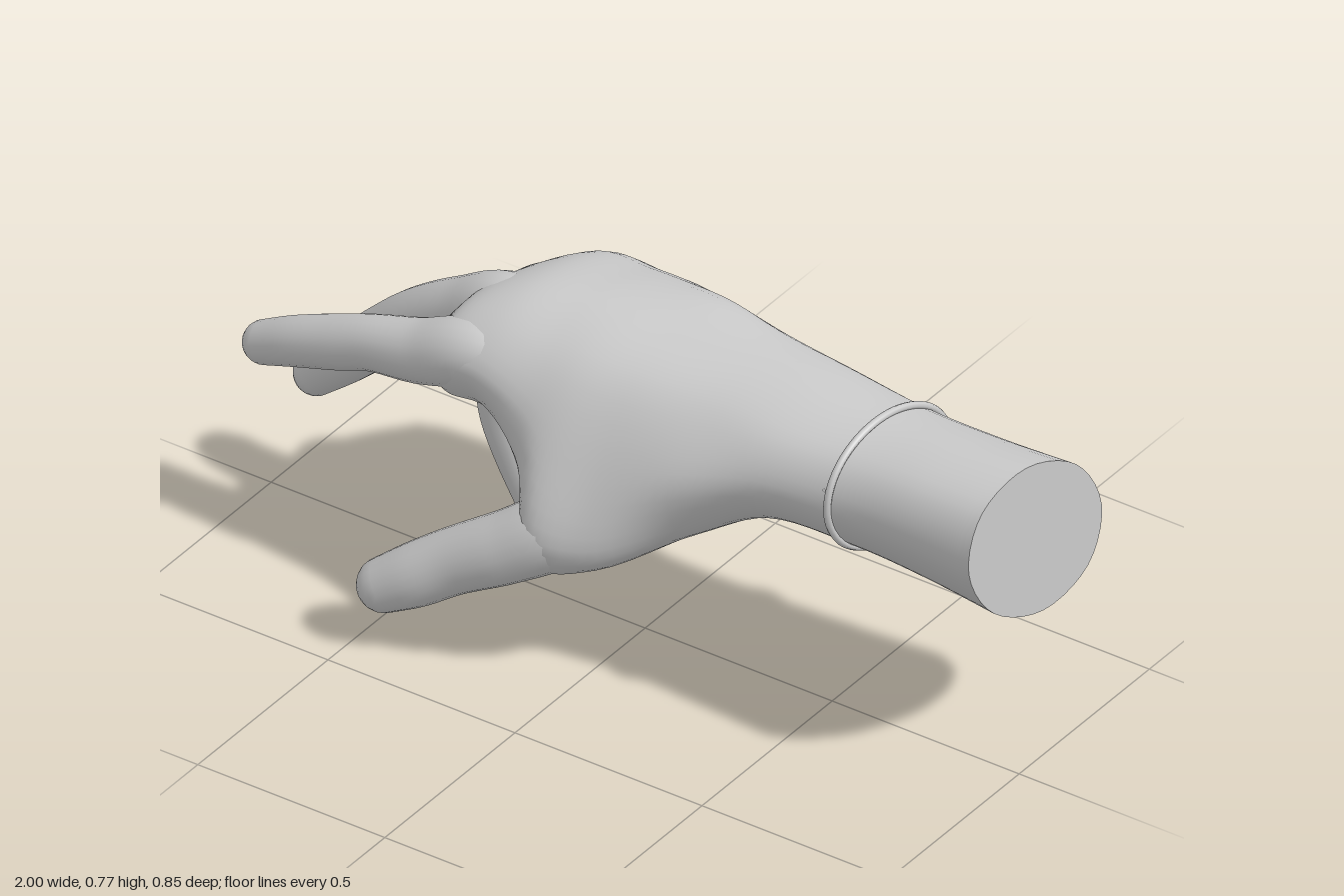
import * as THREE from 'three';

const V = (x, y, z) => new THREE.Vector3(x, y, z);
const material = new THREE.MeshStandardMaterial({ color: 0xcccccc, side: THREE.DoubleSide });

// Smooth skin over a list of closed rings with equal point counts
function skin(rings) {
  const n = rings[0].length, index = [];
  for (let i = 0; i < rings.length - 1; i++) {
    for (let j = 0; j < n; j++) {
      const a = i * n + j, b = i * n + (j + 1) % n;
      index.push(a, b, a + n, b, b + n, a + n);
    }
  }
  const g = new THREE.BufferGeometry().setFromPoints(rings.flat());
  g.setIndex(index);
  g.computeVertexNormals();
  return g;
}

function add(group, name, geometry) {
  const mesh = new THREE.Mesh(geometry, material);
  mesh.name = name;
  group.add(mesh);
  return mesh;
}

// Round limb through joints [x, y, z, radius], closed with a dome at its tip
function limb(joints, sides = 20, steps = 36) {
  const curve = new THREE.CatmullRomCurve3(joints.map(([x, y, z]) => V(x, y, z)));
  const radii = new THREE.CatmullRomCurve3(joints.map(j => V(j[3], 0, 0)), false, 'catmullrom');
  const { normals, binormals } = curve.computeFrenetFrames(steps);
  const ring = (c, r, k) => Array.from({ length: sides }, (_, j) => {
    const a = j / sides * Math.PI * 2;
    return c.clone().addScaledVector(normals[k], r * Math.cos(a)).addScaledVector(binormals[k], r * Math.sin(a));
  });
  const rings = [];
  for (let i = 0; i <= steps; i++) {
    const t = curve.getUtoTmapping(i / steps);
    rings.push(ring(curve.getPoint(t), radii.getPoint(t).x, i));
  }
  const end = curve.getPoint(1), dir = curve.getTangent(1), r = joints.at(-1)[3];
  for (let i = 1; i <= 6; i++) {
    const a = i / 6 * Math.PI / 2;
    rings.push(ring(end.clone().addScaledVector(dir, r * Math.sin(a)), r * Math.cos(a), steps));
  }
  return skin(rings);
}

// Eight [z, y] points of an ellipse, from the top towards the thumb side, optionally tilted
const oval = (z, y, rz, ry, tilt = 0) => Array.from({ length: 8 }, (_, i) => {
  const s = Math.sin(i * Math.PI / 4), c = Math.cos(i * Math.PI / 4);
  return [z + rz * s + tilt * c, y + ry * c + tilt * s];
});

// Cross-sections from knuckles to forearm: x, then [z, y] points
const sections = [
  [-0.50, oval(0, 0.60, 0.13, 0.06)],
  [-0.45, [[-0.05, 0.715], [0.08, 0.70], [0.165, 0.62], [0.10, 0.51], [-0.06, 0.51], [-0.2, 0.51], [-0.31, 0.57], [-0.2, 0.67]]],
  [-0.34, [[-0.08, 0.76], [0.08, 0.73], [0.175, 0.63], [0.10, 0.51], [-0.08, 0.51], [-0.27, 0.49], [-0.415, 0.58], [-0.31, 0.70]]],
  [-0.20, [[-0.08, 0.77], [0.10, 0.72], [0.205, 0.59], [0.19, 0.45], [0.03, 0.455], [-0.25, 0.475], [-0.415, 0.58], [-0.30, 0.715]]],
  [-0.10, [[-0.08, 0.77], [0.11, 0.715], [0.25, 0.53], [0.317, 0.36], [0.22, 0.265], [-0.03, 0.42], [-0.40, 0.56], [-0.29, 0.725]]],
  [0.03, [[-0.08, 0.765], [0.10, 0.71], [0.24, 0.51], [0.285, 0.35], [0.17, 0.29], [-0.07, 0.41], [-0.365, 0.53], [-0.28, 0.73]]],
  [0.20, [[-0.08, 0.76], [0.08, 0.71], [0.20, 0.56], [0.15, 0.41], [-0.02, 0.362], [-0.22, 0.42], [-0.335, 0.58], [-0.25, 0.72]]],
  [0.38, oval(-0.075, 0.60, 0.225, 0.157)],
  [0.60, oval(-0.085, 0.587, 0.213, 0.163, 0.015)],
  [0.80, oval(-0.085, 0.58, 0.220, 0.182, 0.025)],
  [0.984, oval(-0.085, 0.572, 0.232, 0.204, 0.03)],
];

export function createModel() {
  const hand = new THREE.Group();
  hand.name = 'hand';

  // Palm and forearm: sections joined smoothly, with a slanted cut at the arm
  const count = 40, steps = 60;
  const outlines = sections.map(([x, pts]) => new THREE.CatmullRomCurve3(
    pts.map(([z, y]) => V(x - (x > 0.7 ? 0.07 * (z + 0.085) : 0), y, z)), true, 'catmullrom'));
  const rails = Array.from({ length: count }, (_, j) =>
    new THREE.CatmullRomCurve3(outlines.map(o => o.getPoint(j / count))));
  const rings = Array.from({ length: steps + 1 }, (_, i) => rails.map(r => r.getPoint(i / steps)));
  rings.unshift(rings[0].map(() => V(-0.53, 0.59, 0)));
  add(hand, 'palmAndForearm', skin(rings));

  // Flat cut of the forearm
  const edge = rings.at(-1);
  add(hand, 'forearmEnd', skin([edge.map(p => p.clone()), edge.map(() => V(0.984, 0.572, -0.085))]));

  // Fingers and thumb, each starting narrow inside the palm
  const digits = {
    indexFinger: [[-0.20, 0.63, 0.07, 0.04], [-0.38, 0.635, 0.092, 0.078], [-0.53, 0.588, 0.098, 0.074],
      [-0.66, 0.56, 0.10, 0.064], [-0.75, 0.527, 0.10, 0.063], [-0.86, 0.487, 0.10, 0.058], [-0.948, 0.449, 0.098, 0.051]],
    middleFinger: [[-0.20, 0.64, -0.05, 0.04], [-0.39, 0.655, -0.065, 0.085], [-0.54, 0.60, -0.073, 0.073],
      [-0.66, 0.53, -0.075, 0.067], [-0.74, 0.46, -0.075, 0.066], [-0.85, 0.355, -0.075, 0.062], [-0.93, 0.28, -0.075, 0.053]],
    ringFinger: [[-0.20, 0.61, -0.18, 0.04], [-0.37, 0.625, -0.19, 0.08], [-0.47, 0.56, -0.20, 0.071],
      [-0.513, 0.45, -0.205, 0.066], [-0.515, 0.29, -0.205, 0.064], [-0.48, 0.19, -0.205, 0.062], [-0.415, 0.055, -0.20, 0.052]],
    littleFinger: [[-0.16, 0.60, -0.29, 0.03], [-0.30, 0.588, -0.338, 0.079], [-0.375, 0.50, -0.36, 0.066],
      [-0.415, 0.40, -0.362, 0.06], [-0.405, 0.31, -0.362, 0.059], [-0.365, 0.252, -0.362, 0.06],
      [-0.28, 0.245, -0.362, 0.059], [-0.225, 0.252, -0.36, 0.054]],
    thumb: [[0.06, 0.43, 0.17, 0.04], [-0.06, 0.37, 0.225, 0.085], [-0.18, 0.30, 0.272, 0.083],
      [-0.30, 0.235, 0.307, 0.076], [-0.38, 0.185, 0.337, 0.073], [-0.445, 0.147, 0.36, 0.064]],
  };
  for (const [name, joints] of Object.entries(digits)) add(hand, name, limb(joints));

  // Thin band around the wrist, with its small clasp
  const loop = Array.from({ length: 24 }, (_, i) => {
    const a = i / 24 * Math.PI * 2, s = Math.sin(a), c = Math.cos(a), z = 0.217 * s + 0.015 * c;
    return V(0.592 - 0.06 * z, 0.588 + 0.167 * c + 0.015 * s, z - 0.085);
  });
  add(hand, 'wristBand', new THREE.TubeGeometry(new THREE.CatmullRomCurve3(loop, true), 64, 0.009, 8, true));
  const clasp = add(hand, 'bandClasp', new THREE.CapsuleGeometry(0.006, 0.015, 4, 8));
  clasp.rotation.z = Math.PI / 2;
  clasp.position.set(0.57, 0.65, 0.117);

  return hand;
}
